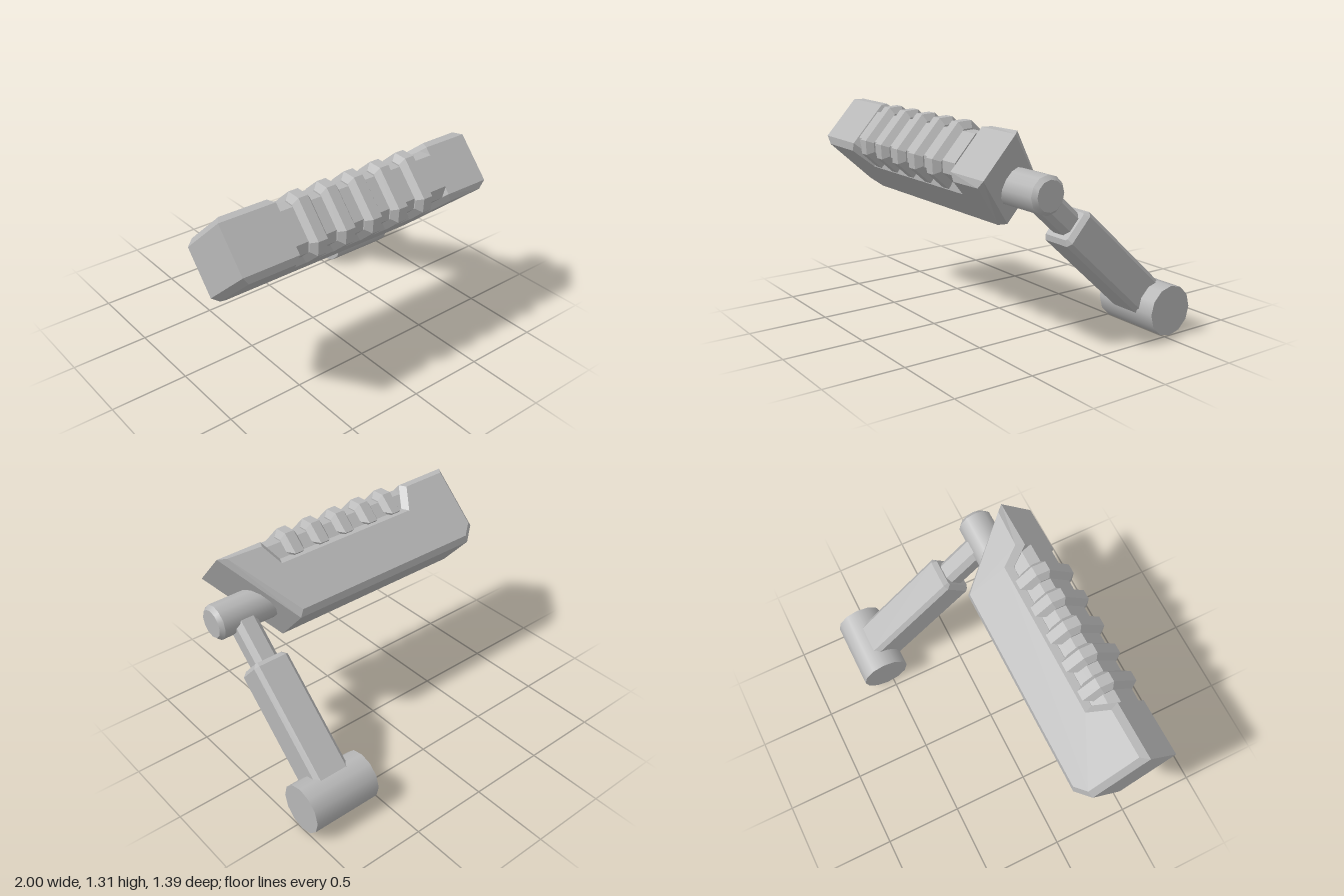
import * as THREE from 'three';

const grey = new THREE.MeshStandardMaterial({ color: 0xb8b8b8 });
grey.name = 'grey metal';

function add(parent, name, geometry) {
  const mesh = new THREE.Mesh(geometry, grey);
  mesh.name = name;
  parent.add(mesh);
  return mesh;
}

const shapeOf = (points) => new THREE.Shape(points.map(([x, y]) => new THREE.Vector2(x, y)));

// Rectangle with cut corners
function cutRect(x0, x1, y0, y1, c) {
  return [[x0 + c, y0], [x1 - c, y0], [x1, y0 + c], [x1, y1 - c],
    [x1 - c, y1], [x0 + c, y1], [x0, y1 - c], [x0, y0 + c]];
}

// Extrusion whose total length is `length`, starting at z = 0, ends bevelled inwards
function prism(points, length, bevel = 0, thickness = bevel) {
  const geometry = new THREE.ExtrudeGeometry(shapeOf(points), {
    depth: length - 2 * thickness,
    bevelEnabled: bevel > 0,
    bevelSize: bevel,
    bevelOffset: -bevel,
    bevelThickness: thickness,
    bevelSegments: 1,
  });
  return geometry.translate(0, 0, thickness);
}

// Cross-section of the grip: flat top corners cut, square at the bottom
function gripSection(inset, bottom) {
  const top = 1.263 - inset, v0 = 0.287 + inset, v1 = 0.674 - inset;
  const c = 0.063 - inset * 0.3;
  return [[-bottom, v0], [-bottom, v1], [c - top, v1], [-top, v1 - c], [-top, v0 + c], [c - top, v0]];
}

export function createModel() {
  const model = new THREE.Group();
  model.name = 'crankPedal';

  // Tilted frame: local z points up and forward, local y up and back
  const tilted = new THREE.Group();
  tilted.name = 'tiltedParts';
  tilted.rotation.x = -0.738;
  model.add(tilted);

  // Pedal body with a slanted end and a notch for the grip
  const outline = [
    [-1, 0.79], [-0.905, 0.695], [0.49, 0.695], [0.8, 1.212],
    [0.49, 1.216], [0.425, 1.075], [-0.555, 1.075], [-0.63, 1.229], [-1, 1.234],
  ];
  const body = prism(outline, 0.384, 0.037);
  body.rotateX(Math.PI / 2).translate(0, 0.674, 0);
  add(tilted, 'pedalBody', body);

  // Grip core and its five ribs
  const core = prism(gripSection(0.04, 1.0), 1.12);
  core.rotateY(Math.PI / 2).translate(-0.63, 0, 0);
  add(tilted, 'gripCore', core);
  for (let i = 0; i < 5; i++) {
    const rib = prism(gripSection(0, 1.06), 0.124, 0.04, 0.03);
    rib.rotateY(Math.PI / 2).translate(-0.542 + i * 0.195, 0, 0);
    add(tilted, 'gripRib' + (i + 1), rib);
  }

  // Narrow link and thick crank arm
  const link = prism(cutRect(0.692, 0.846, 0.412, 0.566, 0.033), 0.42);
  add(tilted, 'link', link.translate(0, 0, 0.485));
  const arm = prism(cutRect(0.65, 0.89, 0.362, 0.602, 0.026), 0.86, 0.026);
  add(tilted, 'crankArm', arm.translate(0, 0, -0.29));

  // Pedal axle with a chamfered end
  const axle = new THREE.Group();
  axle.name = 'axle';
  axle.position.set(0, 0.963, 0.347);
  model.add(axle);
  add(axle, 'axleShaft', new THREE.CylinderGeometry(0.113, 0.113, 0.425, 12)
    .rotateZ(-Math.PI / 2).translate(0.7125, 0, 0));
  add(axle, 'axleTip', new THREE.CylinderGeometry(0.09, 0.113, 0.026, 12)
    .rotateZ(-Math.PI / 2).translate(0.938, 0, 0));

  // Hub at the foot of the arm
  const hub = add(model, 'hub', new THREE.CylinderGeometry(0.156, 0.156, 0.455, 12).rotateZ(-Math.PI / 2));
  hub.position.set(0.7725, 0.156, -0.54);

  return model;
}
